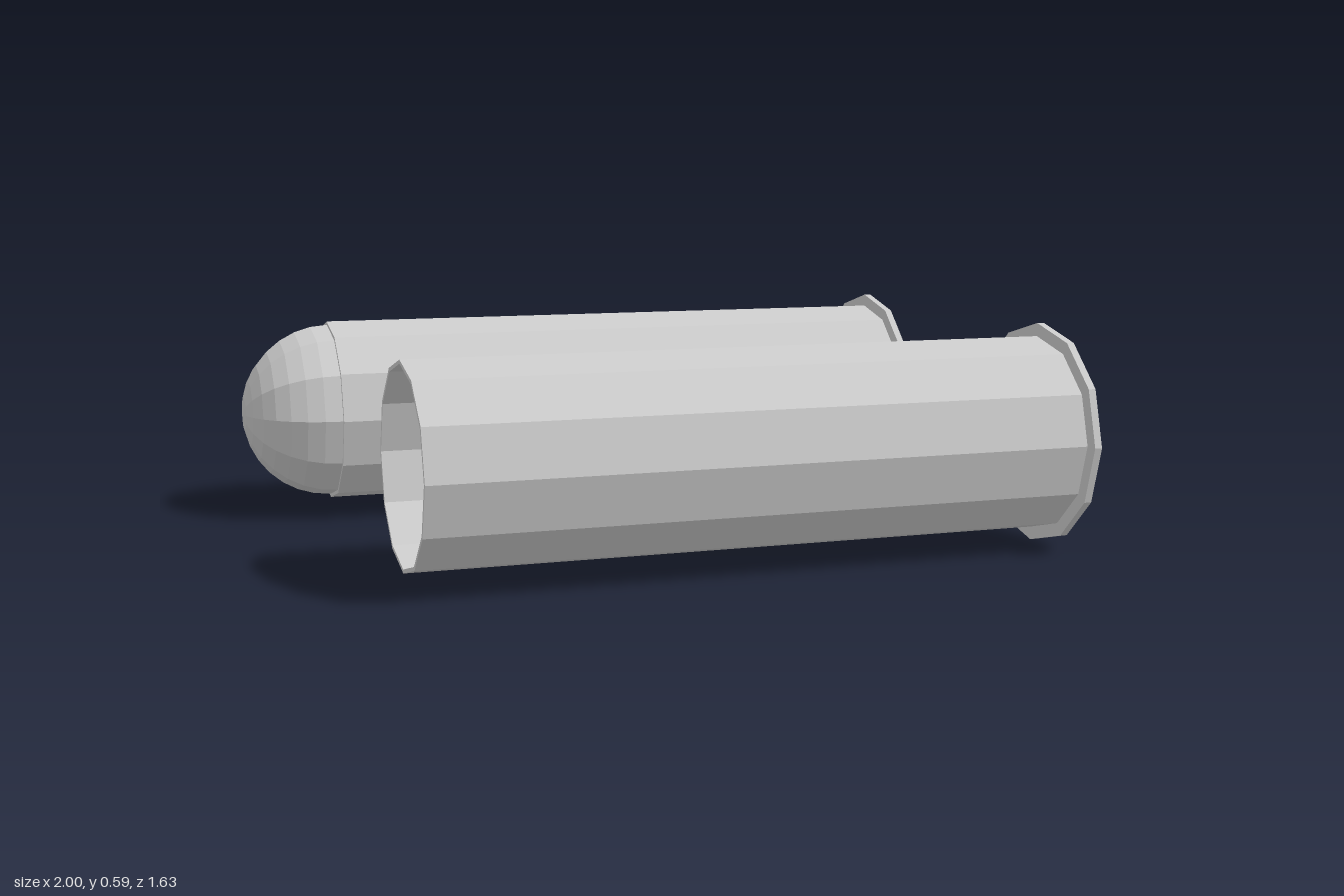
import * as THREE from 'three';

const SIDES = 12, CASE_R = 0.26, BORE_R = 0.25, RIM_R = 0.295;
const MOUTH_X = -0.75, RIM_X = 0.98, BASE_X = 1, SPACING = 0.52;

const material = new THREE.MeshStandardMaterial({ color: 0xcccccc, flatShading: true });

// Turns a profile of [radius, x] points around the x axis.
function turned(name, profile) {
  const points = profile.map(([r, x]) => new THREE.Vector2(r, x));
  const geometry = new THREE.LatheGeometry(points, SIDES).rotateZ(-Math.PI / 2);
  const mesh = new THREE.Mesh(geometry, material);
  mesh.name = name;
  return mesh;
}

// Hollow casing with a thin wall, open mouth and flanged base.
function casing() {
  return turned('casing', [
    [0, RIM_X], [BORE_R, RIM_X], [BORE_R, MOUTH_X], [CASE_R, MOUTH_X],
    [CASE_R, RIM_X], [RIM_R, RIM_X], [RIM_R, BASE_X], [0, BASE_X],
  ]);
}

// Rounded nose seated in the casing mouth.
function nose() {
  const rings = 8, profile = [];
  for (let i = 0; i <= rings; i++) {
    const a = (i / rings) * Math.PI / 2;
    profile.push([BORE_R * Math.sin(a), MOUTH_X - BORE_R * Math.cos(a)]);
  }
  return turned('nose', profile);
}

export function createModel() {
  const model = new THREE.Group();

  const loaded = new THREE.Group();
  loaded.name = 'loadedCartridge';
  loaded.add(casing(), nose());
  loaded.position.set(0, RIM_R, -SPACING);

  const empty = new THREE.Group();
  empty.name = 'emptyCartridge';
  empty.add(casing());
  empty.position.set(0, RIM_R, SPACING);

  model.add(loaded, empty);
  return model;
}
